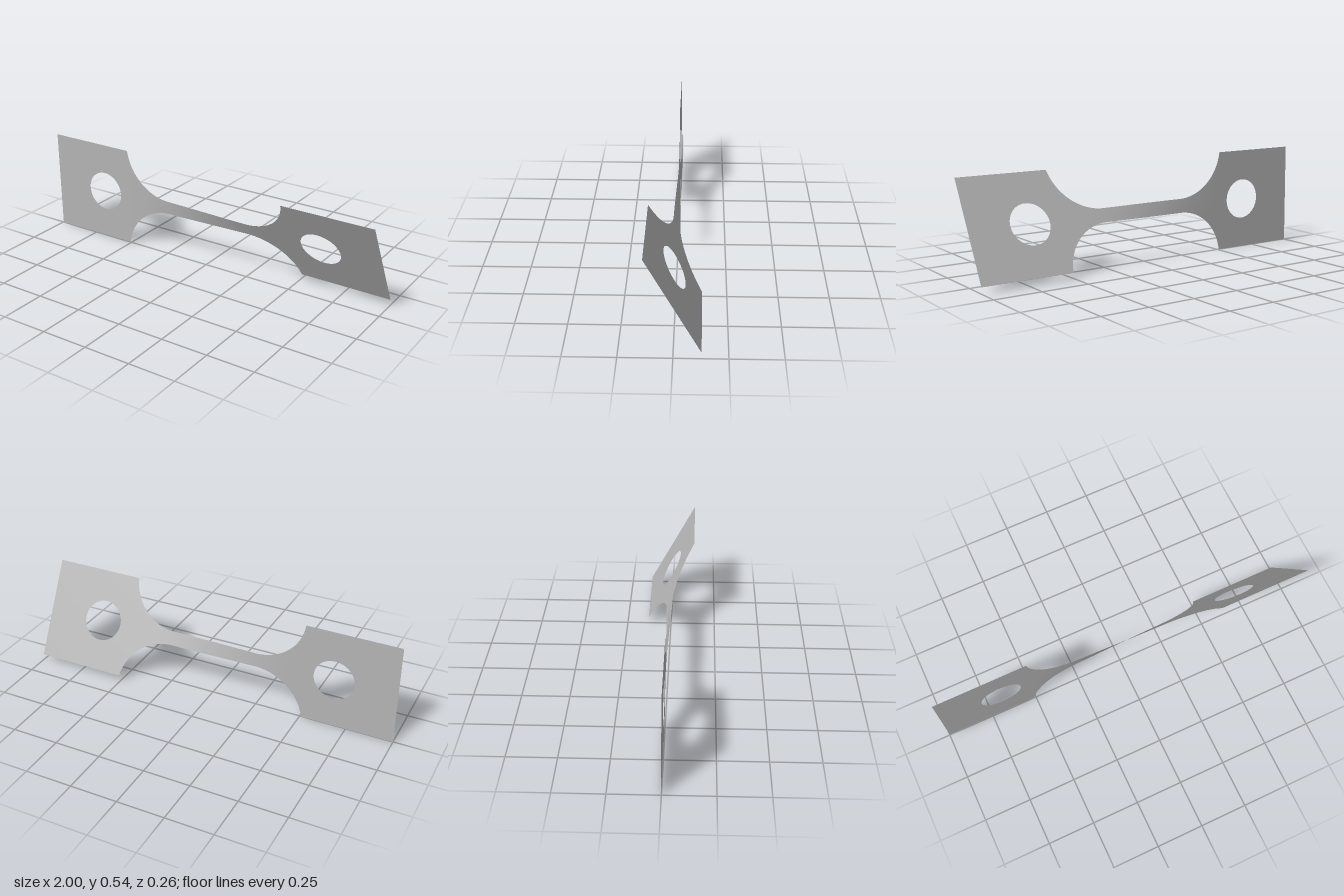
import * as THREE from 'three';

const HALF = 0.271;      // half height of the end tabs
const NECK = 0.0375;     // half height of the narrow neck
const FILLET = 0.27;     // shoulder radius
const ARC_X = 0.24;      // where the shoulders meet the neck
const TAB_X = ARC_X + Math.sqrt(FILLET ** 2 - (NECK + FILLET - HALF) ** 2);
const HOLE_X = 0.67, HOLE_R = 0.108;
const MAX_TWIST = 0.493;

// half height of the flat outline at x
function outer(x) {
  const d = Math.abs(x) - ARC_X;
  if (d <= 0) return NECK;
  if (Math.abs(x) >= TAB_X - 1e-6) return HALF;
  return NECK + FILLET - Math.sqrt(FILLET ** 2 - d * d);
}

// half height of the round hole at x
function inner(x) {
  const d = Math.abs(x) - HOLE_X;
  return Math.sqrt(Math.max(0, HOLE_R ** 2 - d * d));
}

// twist about the long axis: nearly flat on one end, fully turned on the other
function twist(x) {
  return 0.01 + (MAX_TWIST - 0.01) * THREE.MathUtils.smoothstep(x, -0.5, 0.4);
}

// strip above (side = 1) or below (side = -1) the centre line, through the columns xs
function strip(xs, side, material) {
  const rows = 8;
  const geo = new THREE.PlaneGeometry(1, 1, xs.length - 1, rows);
  const pos = geo.attributes.position, nor = geo.attributes.normal;
  for (let i = 0; i < pos.count; i++) {
    const x = xs[i % xs.length];
    const t = Math.floor(i / xs.length) / rows;
    const a = inner(x), b = outer(x);
    const v = side > 0 ? b + (a - b) * t : -(a + (b - a) * t);
    const ang = twist(x);
    const rate = (twist(x + 1e-3) - twist(x - 1e-3)) / 2e-3;
    pos.setXYZ(i, x, HALF + v * Math.cos(ang), v * Math.sin(ang));
    const n = new THREE.Vector3(-v * rate, -Math.sin(ang), Math.cos(ang)).normalize();
    nor.setXYZ(i, n.x, n.y, n.z);
  }
  return new THREE.Mesh(geo, material);
}

function section(name, xs, material) {
  const group = new THREE.Group();
  group.name = name;
  for (const side of [1, -1]) {
    const mesh = strip(xs, side, material);
    mesh.name = name + (side > 0 ? 'Upper' : 'Lower');
    group.add(mesh);
  }
  return group;
}

export function createModel() {
  const model = new THREE.Group();
  model.name = 'twistedTestStrip';
  const metal = new THREE.MeshStandardMaterial({ color: 0xb4b4b4, side: THREE.DoubleSide });
  metal.name = 'greyMetal';

  // columns follow the hole and the shoulder arc evenly by angle
  const tab = [TAB_X];
  for (let i = 0; i <= 40; i++) tab.push(HOLE_X - HOLE_R * Math.cos(Math.PI * i / 40));
  tab.push(0.9, 1);

  const shoulder = [];
  const end = Math.asin((TAB_X - ARC_X) / FILLET);
  for (let i = 0; i <= 28; i++) shoulder.push(ARC_X + FILLET * Math.sin(end * i / 28));

  const neck = [];
  for (let i = 0; i <= 30; i++) neck.push(-ARC_X + 2 * ARC_X * i / 30);

  const mirror = xs => xs.map(x => -x).reverse();
  model.add(
    section('rightTab', mirror(tab), metal),
    section('rightShoulder', mirror(shoulder), metal),
    section('neck', neck, metal),
    section('leftShoulder', shoulder, metal),
    section('leftTab', tab, metal),
  );
  return model;
}
